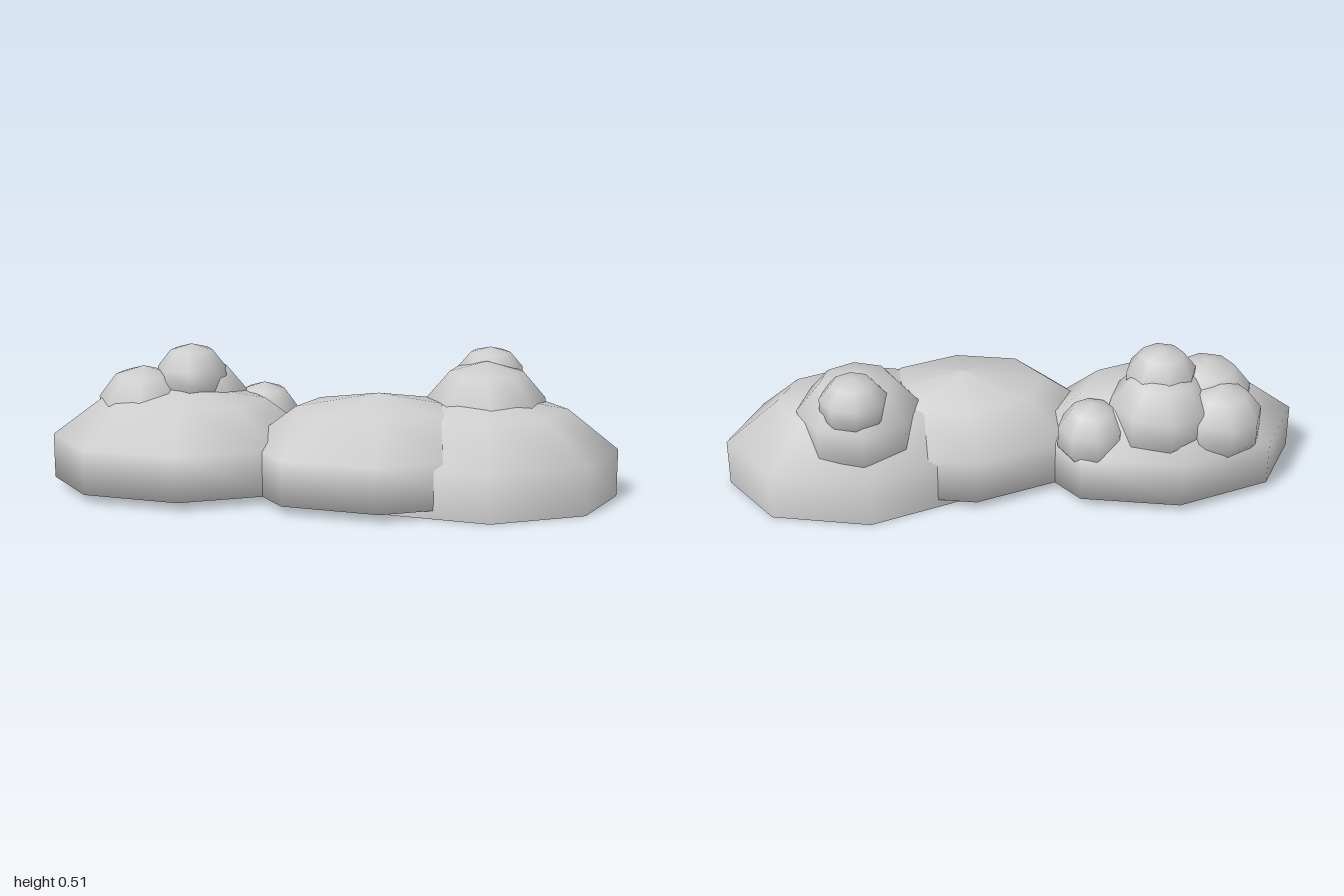
import * as THREE from 'three';

const stone = new THREE.MeshStandardMaterial({ color: 0xcccccc, side: THREE.DoubleSide });
stone.name = 'pale grey';

// Hollow eight-sided mound: profile holds [radius ratio, height] from rim to crown
function mound(name, profile, x, z, rx, rz) {
  const points = profile.map(([r, y]) => new THREE.Vector2(r, y));
  const mesh = new THREE.Mesh(new THREE.LatheGeometry(points, 8), stone);
  mesh.name = name;
  mesh.scale.set(rx, 1, rz);
  mesh.position.set(x, 0, z);
  return mesh;
}

// Coarse smooth-shaded ball; r is the widest visible radius, h the half height
function puff(name, x, y, z, r, h) {
  const mesh = new THREE.Mesh(new THREE.SphereGeometry(1, 8, 5), stone);
  mesh.name = name;
  const k = r / Math.sin(Math.PI * 0.4);
  mesh.scale.set(k, h, k);
  mesh.position.set(x, y, z);
  return mesh;
}

export function createModel() {
  const group = new THREE.Group();
  group.name = 'moundCluster';

  // Large mounds: two with an inturned rim, one with a straight open wall
  const rimmed = [[0.618, 0.002], [1, 0.03], [1, 0.19], [0.618, 0.325], [0.001, 0.375]];
  const straight = [[1, 0], [1, 0.17], [0.618, 0.315], [0.001, 0.365]];
  group.add(
    mound('rightMound', rimmed, -0.53, -0.07, 0.47, 0.315),
    mound('middleMound', rimmed, 0.16, 0.055, 0.47, 0.315),
    mound('leftMound', straight, 0.53, 0.04, 0.47, 0.335),
  );

  // Small puffs on the left mound
  group.add(
    puff('leftPuff', 0.54, 0.275, -0.05, 0.21, 0.19),
    puff('leftTopPuff', 0.56, 0.395, -0.14, 0.115, 0.103),
  );

  // Small puffs on the right mound
  group.add(
    puff('rightCentrePuff', -0.495, 0.285, -0.175, 0.18, 0.165),
    puff('rightTopPuff', -0.505, 0.39, -0.125, 0.122, 0.12),
    puff('rightFrontPuff', -0.675, 0.275, -0.1, 0.16, 0.16),
    puff('rightBackPuff', -0.7, 0.26, -0.225, 0.142, 0.14),
    puff('rightInnerPuff', -0.25, 0.23, -0.195, 0.117, 0.125),
  );
  return group;
}
